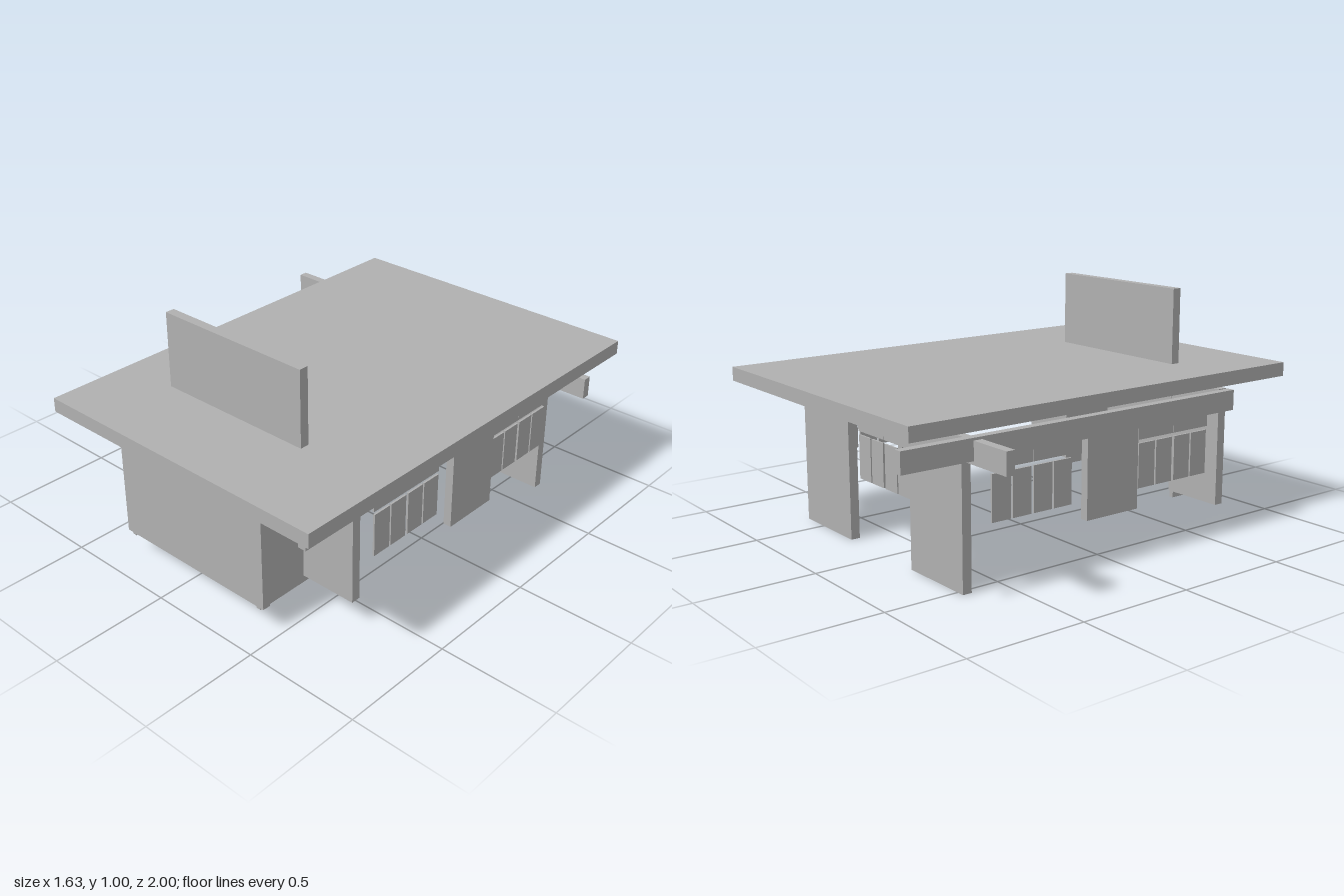
import * as THREE from 'three';

export function createModel() {
  const model = new THREE.Group();
  model.name = 'pavilionHouse';
  const grey = new THREE.MeshStandardMaterial({ color: 0xb0b0b0 });
  grey.name = 'plainGrey';

  // Box given by its extents on each axis
  function slab(name, [x0, x1], [y0, y1], [z0, z1], parent = model) {
    const mesh = new THREE.Mesh(new THREE.BoxGeometry(x1 - x0, y1 - y0, z1 - z0), grey);
    mesh.position.set((x0 + x1) / 2, (y0 + y1) / 2, (z0 + z1) / 2);
    mesh.name = name;
    parent.add(mesh);
    return mesh;
  }

  // Window set: four panes under two transoms, running along -z from its local origin
  const paneStarts = [0.005, 0.1, 0.2, 0.295];
  function windowSet(name, x, z, turn = 0) {
    const group = new THREE.Group();
    group.name = name;
    const thin = [-0.004, 0.004];
    for (const s of paneStarts) slab('pane', thin, [0.27, 0.455], [-s - 0.087, -s], group);
    for (const s of [0, 0.192]) slab('transom', thin, [0.47, 0.52], [-s - 0.191, -s], group);
    group.position.set(x, 0, z);
    group.rotation.y = turn;
    model.add(group);
  }

  // Roof and the upright fin that passes through it
  slab('roof', [-0.57, 0.8], [0.62, 0.68], [-0.93, 1]);
  slab('roofFin', [-0.305, 0.41], [0.51, 1.005], [0.585, 0.625]);

  // Beams, slipping past one another
  slab('rightBeam', [0.68, 0.715], [0.53, 0.615], [-0.7, 0.925]);
  slab('leftBeam', [-0.625, -0.59], [0.53, 0.615], [-1, 0.63]);
  slab('backBeam', [-0.815, 0.815], [0.515, 0.605], [-0.695, -0.658]);

  // Side wall panels under the beams
  slab('sidePanel', [0.68, 0.715], [0.205, 0.53], [-0.165, 0.095]);
  slab('sidePanel', [-0.625, -0.59], [0.205, 0.53], [-0.165, 0.095]);

  // Tall back wall panels
  slab('backPanel', [-0.535, -0.19], [0, 0.51], [-0.685, -0.645]);
  slab('backPanel', [0.265, 0.63], [0, 0.51], [-0.685, -0.645]);

  // Front bay: front plate, two cheeks and flanking walls
  slab('frontPlate', [-0.32, 0.455], [0.115, 0.615], [0.85, 0.885]);
  slab('bayCheek', [-0.32, -0.299], [0.085, 0.612], [0.598, 0.865]);
  slab('bayCheek', [0.398, 0.42], [0.085, 0.612], [0.598, 0.865]);
  slab('frontWall', [-0.58, -0.3], [0.115, 0.615], [0.59, 0.63]);
  slab('frontWall', [0.4, 0.67], [0.115, 0.615], [0.59, 0.63]);

  // Windows on both sides and at the back
  for (const x of [-0.58, 0.672]) {
    windowSet('frontSideWindows', x, 0.52);
    windowSet('rearSideWindows', x, -0.204);
  }
  windowSet('backWindows', 0.228, -0.655, Math.PI / 2);

  return model;
}
